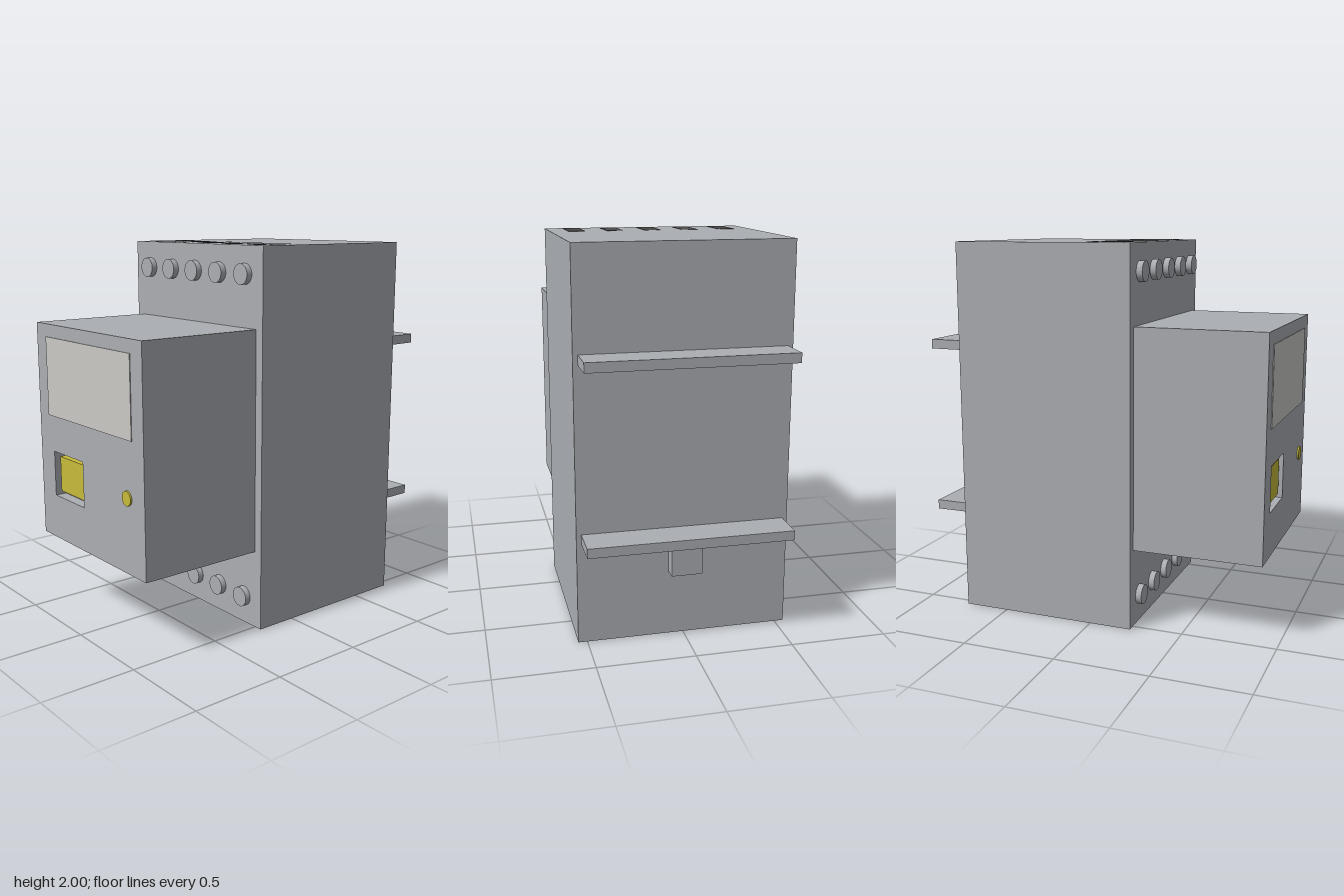
import * as THREE from 'three';

const mat = (name, color) => {
  const m = new THREE.MeshStandardMaterial({ color });
  m.name = name;
  return m;
};

export function createModel() {
  const grey = mat('housing grey', 0xabaeb3);
  const yellow = mat('yellow', 0xc8bb3a);
  const pale = mat('label pale grey', 0xcac9c5);
  const dark = mat('vent dark grey', 0x4a4a4a);

  const model = new THREE.Group();
  model.name = 'dinRailDevice';

  const add = (name, geometry, material) => {
    const mesh = new THREE.Mesh(geometry, material);
    mesh.name = name;
    model.add(mesh);
    return mesh;
  };
  // Box given by its limits on each axis
  const box = (name, material, [x0, x1], [y0, y1], [z0, z1]) =>
    add(name, new THREE.BoxGeometry(x1 - x0, y1 - y0, z1 - z0), material)
      .position.set((x0 + x1) / 2, (y0 + y1) / 2, (z0 + z1) / 2);
  // Disc facing the front, standing on the plane z = z0
  const disc = (name, material, r, x, y, z0, z1) => {
    const g = new THREE.CylinderGeometry(r, r, z1 - z0, 32).rotateX(Math.PI / 2);
    add(name, g, material).position.set(x, y, (z0 + z1) / 2);
  };
  const rect = (path, x0, x1, y0, y1) =>
    path.moveTo(x0, y0).lineTo(x1, y0).lineTo(x1, y1).lineTo(x0, y1).closePath();

  // Main housing
  box('housing', grey, [-0.547, 0.547], [0, 2], [-0.74, 0.23]);

  // Front cover with the button recess
  const face = rect(new THREE.Shape(), -0.498, 0.498, 0.42, 1.588);
  face.holes.push(rect(new THREE.Path(), -0.36, -0.065, 0.66, 0.905));
  const cover = new THREE.ExtrudeGeometry(face, { depth: 0.685, bevelEnabled: false });
  add('frontCover', cover, grey).position.z = 0.23;
  box('recessFloor', grey, [-0.36, -0.065], [0.66, 0.905], [0.23, 0.855]);

  // Button, indicator and label
  box('button', yellow, [-0.33, -0.09], [0.688, 0.88], [0.855, 0.897]);
  disc('indicator', yellow, 0.038, 0.352, 0.81, 0.915, 0.924);
  box('label', pale, [-0.4, 0.4], [1.1, 1.52], [0.915, 0.919]);

  // Terminal screws and vents, above and below
  for (let i = -2; i <= 2; i++) {
    const x = i * 0.205;
    for (const y of [0.15, 1.858]) disc('terminalScrew', grey, 0.053, x, y, 0.23, 0.262);
    for (const y of [0, 2])
      box('vent', dark, [x - 0.044, x + 0.044], [y - 0.002, y + 0.002], [-0.04, 0.18]);
  }

  // Rail ledges and the clip at the back
  for (const y of [0.53, 1.43]) box('railLedge', grey, [-0.522, 0.522], [y, y + 0.05], [-0.923, -0.74]);
  box('railClip', grey, [-0.08, 0.08], [0.345, 0.53], [-0.812, -0.74]);

  return model;
}
